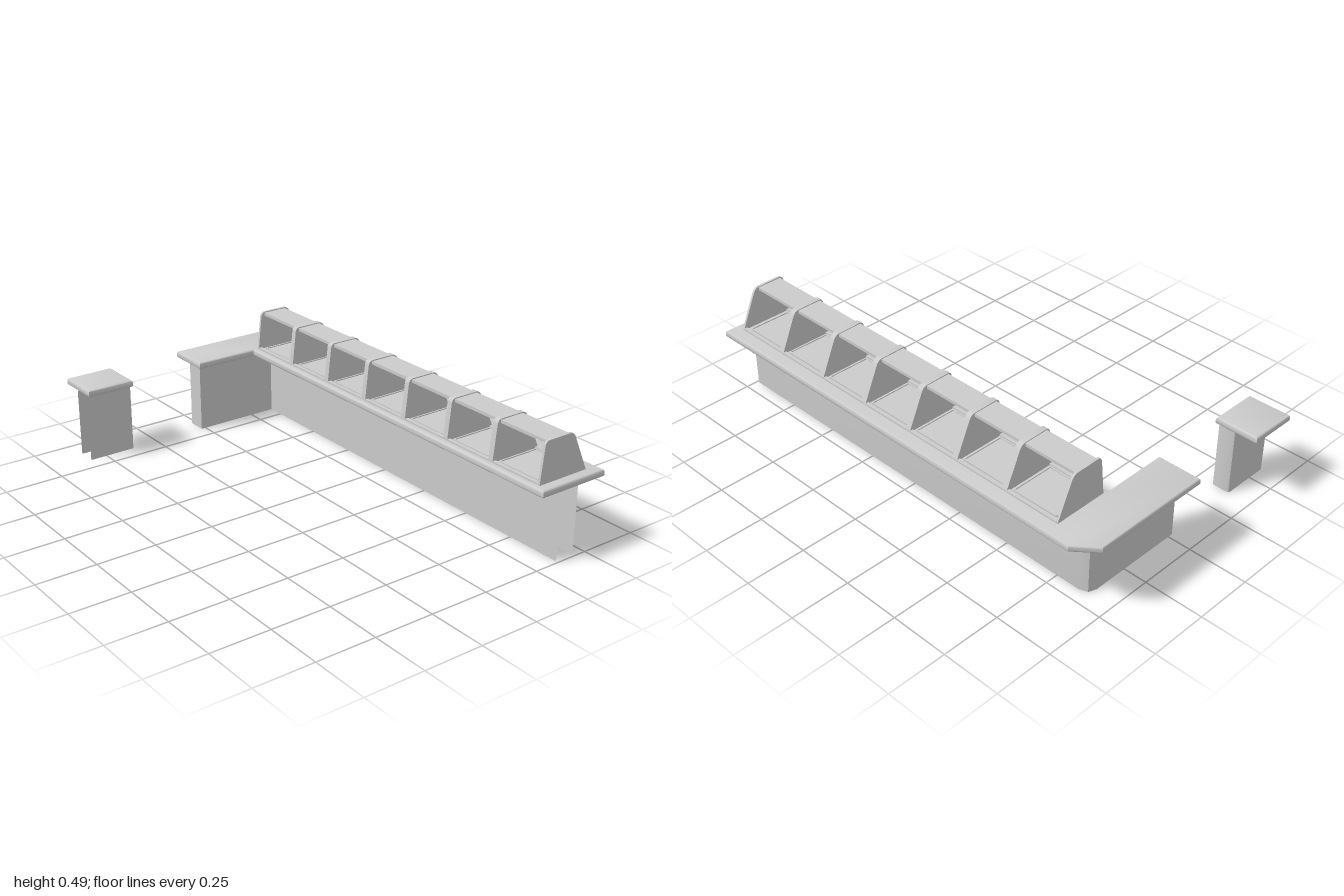
import * as THREE from 'three';
import { toCreasedNormals } from 'three/addons/utils/BufferGeometryUtils.js';

const grey = new THREE.MeshStandardMaterial({ color: 0xcccccc });
const greyThin = new THREE.MeshStandardMaterial({ color: 0xcccccc, side: THREE.DoubleSide });

function addMesh(parent, name, geometry, material = grey) {
  const mesh = new THREE.Mesh(geometry, material);
  mesh.name = name;
  parent.add(mesh);
  return mesh;
}

function addBox(parent, name, w, h, d, x, y, z) {
  addMesh(parent, name, new THREE.BoxGeometry(w, h, d)).position.set(x, y, z);
}

// Slab with softly rounded edges from an [x, z] outline
function slab(outline, y0, y1, bevel) {
  const shape = new THREE.Shape(outline.map(([x, z]) => new THREE.Vector2(x, -z)));
  const geo = new THREE.ExtrudeGeometry(shape, {
    depth: y1 - y0 - 2 * bevel, bevelEnabled: true, bevelThickness: bevel,
    bevelSize: bevel, bevelOffset: -bevel, bevelSegments: 4,
  });
  geo.rotateX(-Math.PI / 2).translate(0, y0 + bevel, 0);
  return toCreasedNormals(geo, 0.6);
}

// Open upright sheet following an [x, z] path
function sheet(path, height) {
  const pos = [];
  for (let i = 0; i < path.length - 1; i++) {
    const [ax, az] = path[i], [bx, bz] = path[i + 1];
    pos.push(ax, 0, az, ax, height, az, bx, 0, bz);
    pos.push(bx, 0, bz, ax, height, az, bx, height, bz);
  }
  const geo = new THREE.BufferGeometry();
  geo.setAttribute('position', new THREE.Float32BufferAttribute(pos, 3));
  geo.computeVertexNormals();
  return toCreasedNormals(geo, 0.6);
}

// Tapered divider with rounded top corners, centred on x = 0
function dividerGeometry(width) {
  const s = new THREE.Shape(); // drawn in (-z, y)
  s.moveTo(0.28, 0.3);
  s.lineTo(0.298, 0.462);
  s.quadraticCurveTo(0.3, 0.486, 0.32, 0.486);
  s.lineTo(0.425, 0.485);
  s.quadraticCurveTo(0.442, 0.484, 0.452, 0.463);
  s.lineTo(0.52, 0.313);
  s.lineTo(0.515, 0.3);
  s.closePath();
  const geo = new THREE.ExtrudeGeometry(s, { depth: width, bevelEnabled: false, curveSegments: 6 });
  geo.translate(0, 0, -width / 2).rotateY(Math.PI / 2);
  return toCreasedNormals(geo, 0.6);
}

export function createModel() {
  const model = new THREE.Group();
  model.name = 'servingCounter';

  // L-shaped worktop with a cut rear corner
  addMesh(model, 'worktop', slab([
    [-1, 0.025], [-0.81, 0.025], [-0.81, -0.26], [0.997, -0.26],
    [0.997, -0.575], [-0.91, -0.575], [-1, -0.5],
  ], 0.285, 0.316, 0.01));

  // Hollow base panels, open at the far end
  addMesh(model, 'counterBase', sheet([
    [0.99, -0.36], [-0.82, -0.36], [-0.82, 0.02], [-0.9, 0.02],
    [-0.9, -0.4], [-0.888, -0.432], [-0.855, -0.445], [0.99, -0.445],
  ], 0.29), greyThin);

  // Separate end stand, open towards the front
  const stand = new THREE.Group();
  stand.name = 'endStand';
  model.add(stand);
  addMesh(stand, 'standTop', slab(
    [[-1, 0.57], [-0.81, 0.57], [-0.81, 0.36], [-1, 0.36]], 0.285, 0.316, 0.01));
  addMesh(stand, 'standBase', sheet([
    [-0.9, 0.575], [-0.9, 0.375], [-0.897, 0.368], [-0.89, 0.365],
    [-0.83, 0.365], [-0.823, 0.368], [-0.82, 0.375], [-0.82, 0.575],
  ], 0.29), greyThin);

  // Display case of equal bays
  const display = new THREE.Group();
  display.name = 'displayCase';
  model.add(display);
  const bays = 7, x0 = -0.805, x1 = 0.95, pitch = (x1 - x0) / bays, mid = (x0 + x1) / 2;
  const inner = dividerGeometry(0.024), outer = dividerGeometry(0.01);
  for (let i = 0; i <= bays; i++) {
    const end = i === 0 || i === bays;
    addMesh(display, end ? 'endPanel' : 'divider', end ? outer : inner).position.x = x0 + i * pitch;
  }
  addBox(display, 'topShelf', x1 - x0, 0.013, 0.11, mid, 0.475, -0.37);
  addBox(display, 'frontSill', x1 - x0, 0.014, 0.016, mid, 0.316, -0.29);
  addBox(display, 'backSill', x1 - x0, 0.014, 0.016, mid, 0.316, -0.51);

  // Low tray in each bay
  for (let i = 0; i < bays; i++) {
    const x = x0 + (i + 0.5) * pitch;
    addBox(display, 'trayFloor', pitch - 0.05, 0.004, 0.19, x, 0.317, -0.4);
    for (const s of [-1, 1]) {
      addBox(display, 'traySide', 0.006, 0.008, 0.19, x + s * (pitch / 2 - 0.025), 0.319, -0.4);
      addBox(display, 'trayEnd', pitch - 0.05, 0.008, 0.006, x, 0.319, -0.4 + s * 0.093);
    }
  }
  return model;
}
